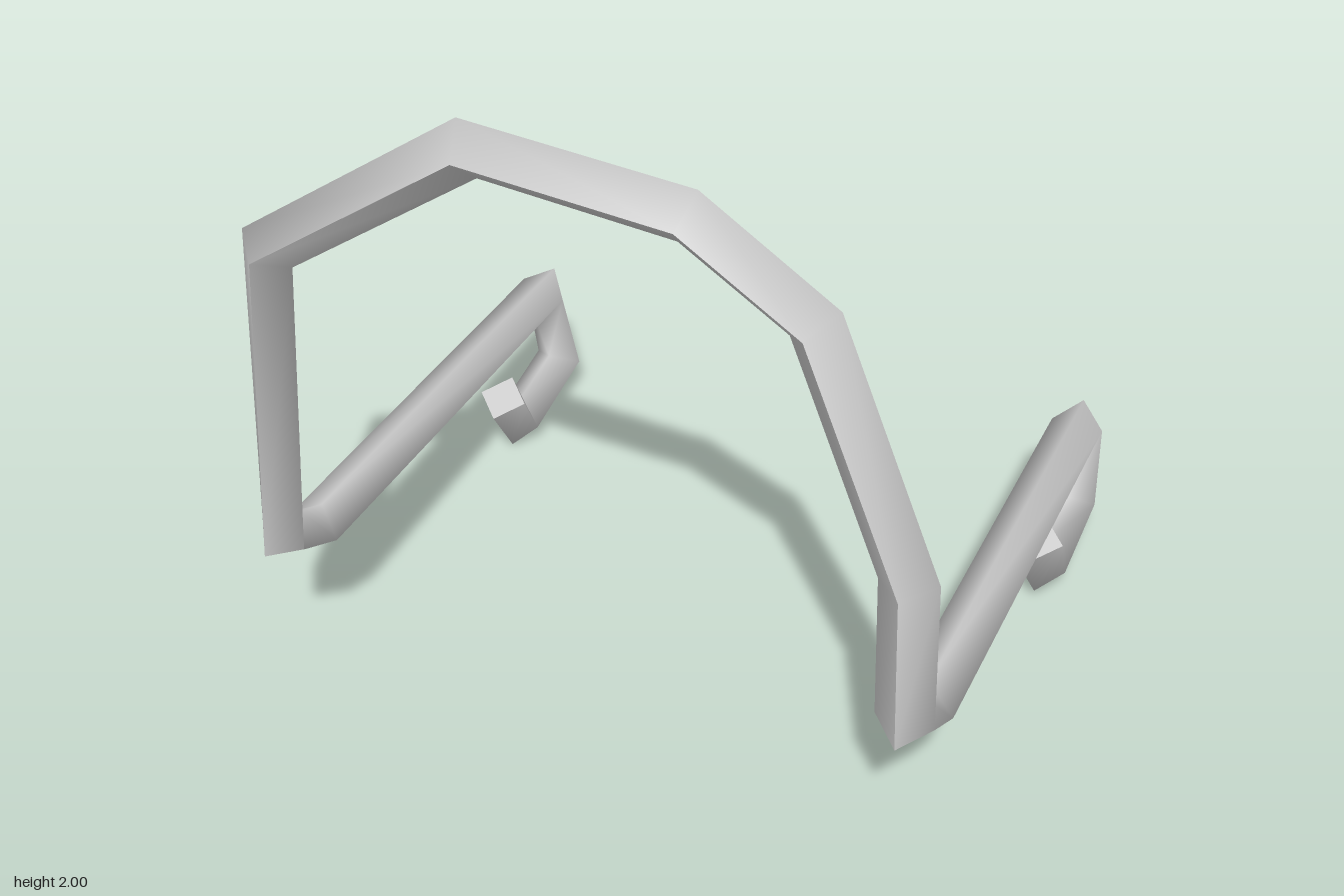
import * as THREE from 'three';

const R = 0.074;
const material = new THREE.MeshStandardMaterial({ color: 0xcccccc, side: THREE.DoubleSide });

// Centre line of the bent bar, from the tip of the left hook to the tip of the right one
const path = [
  // left hook and arm
  [0.85, 0.25, -0.405], [0.85, 0.093, -0.476], [0.85, 0.114, -0.78], [0.85, 0.41, -0.75],
  [0.85, 0.513, 0.61], [0.85, 0.617, 0.765],
  // arch
  [0.847, 1.069, 0.795], [0.608, 1.698, 0.797], [0.318, 1.889, 0.797],
  [-0.198, 1.928, 0.797], [-0.746, 1.529, 0.797],
  // right arm and hook
  [-0.853, 0.585, 0.745], [-0.853, 0.505, 0.61], [-0.853, 0.43, -0.722],
  [-0.853, 0.12, -0.805], [-0.853, 0.066, -0.505], [-0.853, 0.21, -0.43],
].map(p => new THREE.Vector3(...p));

// Diamond section at every bend, carried along the path without twist
function makeRings(points) {
  const dirs = points.slice(1).map((p, i) => p.clone().sub(points[i]).normalize());
  const normal = new THREE.Vector3(1, 0, 0);
  return points.map((p, i) => {
    const before = dirs[Math.max(i - 1, 0)];
    const after = dirs[Math.min(i, dirs.length - 1)];
    const tangent = before.clone().add(after).normalize();
    normal.addScaledVector(tangent, -normal.dot(tangent)).normalize();
    const side = tangent.clone().cross(normal);
    return [0, 1, 2, 3].map(k => {
      const a = k * Math.PI / 2;
      return p.clone().addScaledVector(normal, R * Math.cos(a)).addScaledVector(side, R * Math.sin(a));
    });
  });
}

// Skin over the rings; each strip lists the corners it joins smoothly
function skin(name, rings, strips) {
  const position = [], index = [];
  for (const { corners, closed } of strips) {
    const base = position.length / 3, n = corners.length;
    rings.forEach(ring => corners.forEach(c => position.push(...ring[c].toArray())));
    for (let i = 0; i < rings.length - 1; i++) {
      for (let j = 0; j < (closed ? n : n - 1); j++) {
        const k = (j + 1) % n;
        const a = base + i * n + j, b = base + i * n + k;
        index.push(a, b, b + n, a, b + n, a + n);
      }
    }
  }
  return finish(name, position, index);
}

function finish(name, position, index) {
  const geometry = new THREE.BufferGeometry();
  geometry.setAttribute('position', new THREE.Float32BufferAttribute(position, 3));
  geometry.setIndex(index);
  geometry.computeVertexNormals();
  const mesh = new THREE.Mesh(geometry, material);
  mesh.name = name;
  return mesh;
}

// Flat end of a hook
function cap(name, ring, atStart) {
  const index = atStart ? [0, 2, 1, 0, 3, 2] : [0, 1, 2, 0, 2, 3];
  return finish(name, ring.flatMap(v => v.toArray()), index);
}

export function createModel() {
  const group = new THREE.Group();
  group.name = 'bentBarFrame';
  const rings = makeRings(path);
  const round = [{ corners: [0, 1, 2, 3], closed: true }];
  // the arch keeps a sharp ridge along its front and back
  const ridged = [{ corners: [1, 2, 3] }, { corners: [3, 0, 1] }];

  group.add(
    skin('leftArmAndHook', rings.slice(0, 6), round),
    skin('arch', rings.slice(5, 12), ridged),
    skin('rightArmAndHook', rings.slice(11), round),
    cap('leftHookTip', rings[0], true),
    cap('rightHookTip', rings[rings.length - 1], false),
  );
  return group;
}
